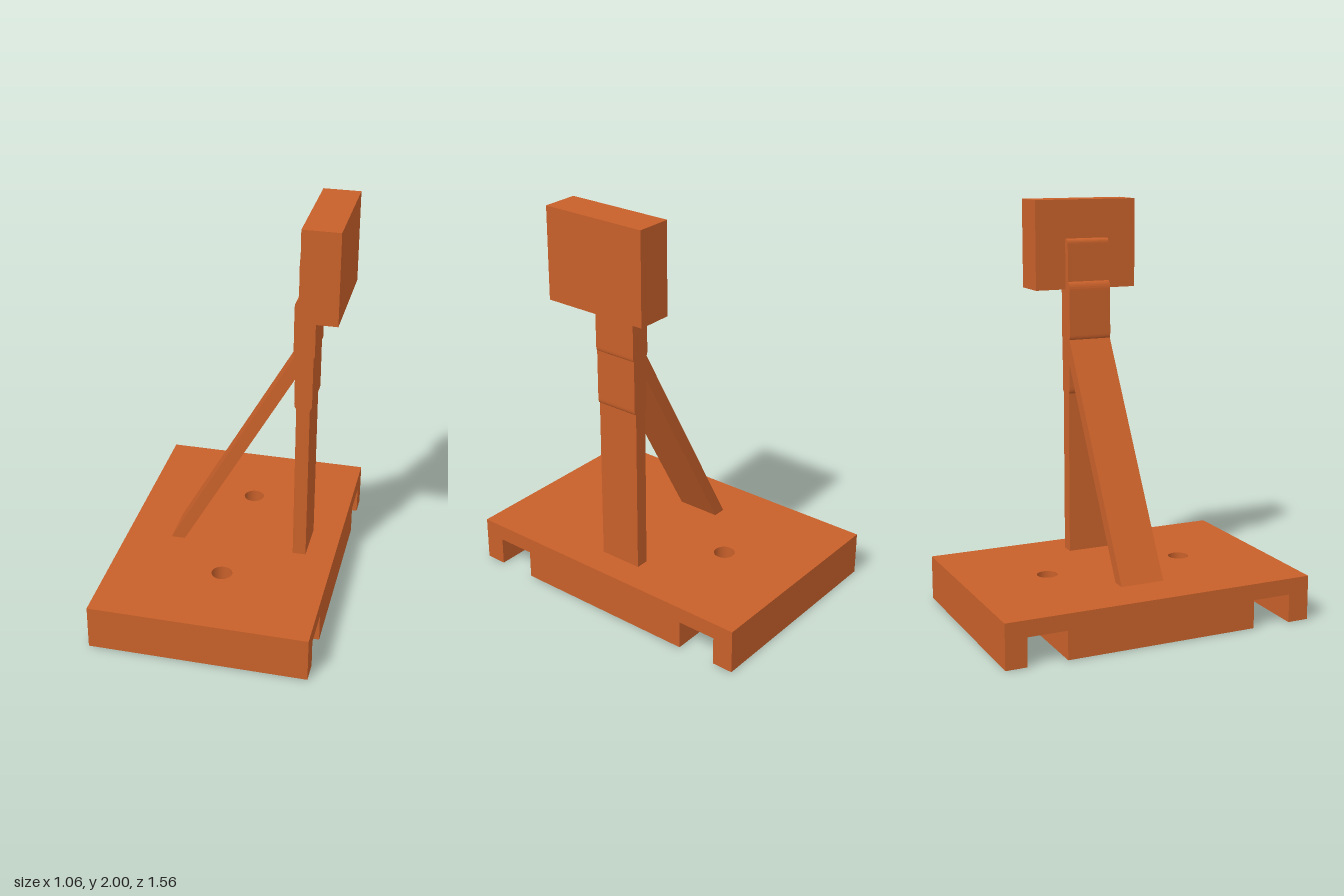
import * as THREE from 'three';

const material = new THREE.MeshStandardMaterial({ color: 0xc8602a });

function addMesh(group, name, geometry) {
  const mesh = new THREE.Mesh(geometry, material);
  mesh.name = name;
  group.add(mesh);
  return mesh;
}

// Horizontal plate between two heights and two z limits, with optional screw holes
function plate(y0, y1, z0, z1, drilled) {
  const w = 0.53;
  const shape = new THREE.Shape([[-w, -z1], [w, -z1], [w, -z0], [-w, -z0]].map(p => new THREE.Vector2(...p)));
  if (drilled) {
    for (const z of [-0.357, 0.357]) {
      shape.holes.push(new THREE.Path().absarc(0.02, z, 0.051, 0, Math.PI * 2, true));
    }
  }
  const g = new THREE.ExtrudeGeometry(shape, { depth: y1 - y0, bevelEnabled: false, curveSegments: 24 });
  return g.rotateX(-Math.PI / 2).translate(0, y0, 0);
}

// Side profile extruded across the width of the post
function strip(shape) {
  const depth = 0.22;
  return new THREE.ExtrudeGeometry(shape, { depth, bevelEnabled: false, curveSegments: 6 })
    .translate(0, 0, -depth / 2);
}

const polygon = points => new THREE.Shape(points.map(p => new THREE.Vector2(...p)));

export function createModel() {
  const model = new THREE.Group();
  model.name = 'bracketStand';

  // Base: drilled deck, central block and outer rails leaving two open channels
  const base = new THREE.Group();
  base.name = 'base';
  model.add(base);
  addMesh(base, 'deck', plate(0.14, 0.22, -0.78, 0.78, true));
  addMesh(base, 'centreBlock', plate(0, 0.14, -0.48, 0.48, true));
  addMesh(base, 'frontRail', plate(0, 0.14, 0.675, 0.78, false));
  addMesh(base, 'backRail', plate(0, 0.14, -0.78, -0.675, false));

  // Post: stepped profile with rounded shoulders and a tongue behind the head
  const post = new THREE.Shape();
  post.moveTo(0.322, 0.22);
  post.lineTo(0.387, 0.22);
  post.lineTo(0.387, 1.04);
  post.quadraticCurveTo(0.397, 1.045, 0.397, 1.07);
  post.lineTo(0.397, 1.31);
  post.quadraticCurveTo(0.403, 1.315, 0.403, 1.335);
  post.lineTo(0.403, 1.81);
  post.lineTo(0.345, 1.81);
  post.quadraticCurveTo(0.322, 1.81, 0.322, 1.785);
  post.lineTo(0.322, 1.6);
  post.quadraticCurveTo(0.303, 1.59, 0.303, 1.555);
  post.lineTo(0.303, 1.335);
  post.quadraticCurveTo(0.303, 1.315, 0.312, 1.31);
  post.lineTo(0.312, 1.07);
  post.quadraticCurveTo(0.312, 1.045, 0.322, 1.04);
  addMesh(model, 'post', strip(post));

  // Diagonal brace from the deck into the post
  addMesh(model, 'brace', strip(polygon([[-0.303, 0.22], [-0.235, 0.22], [0.33, 1.225], [0.33, 1.35]])));

  // Head block
  addMesh(model, 'head', new THREE.BoxGeometry(0.176, 0.44, 0.534)).position.set(0.442, 1.78, 0);

  return model;
}
